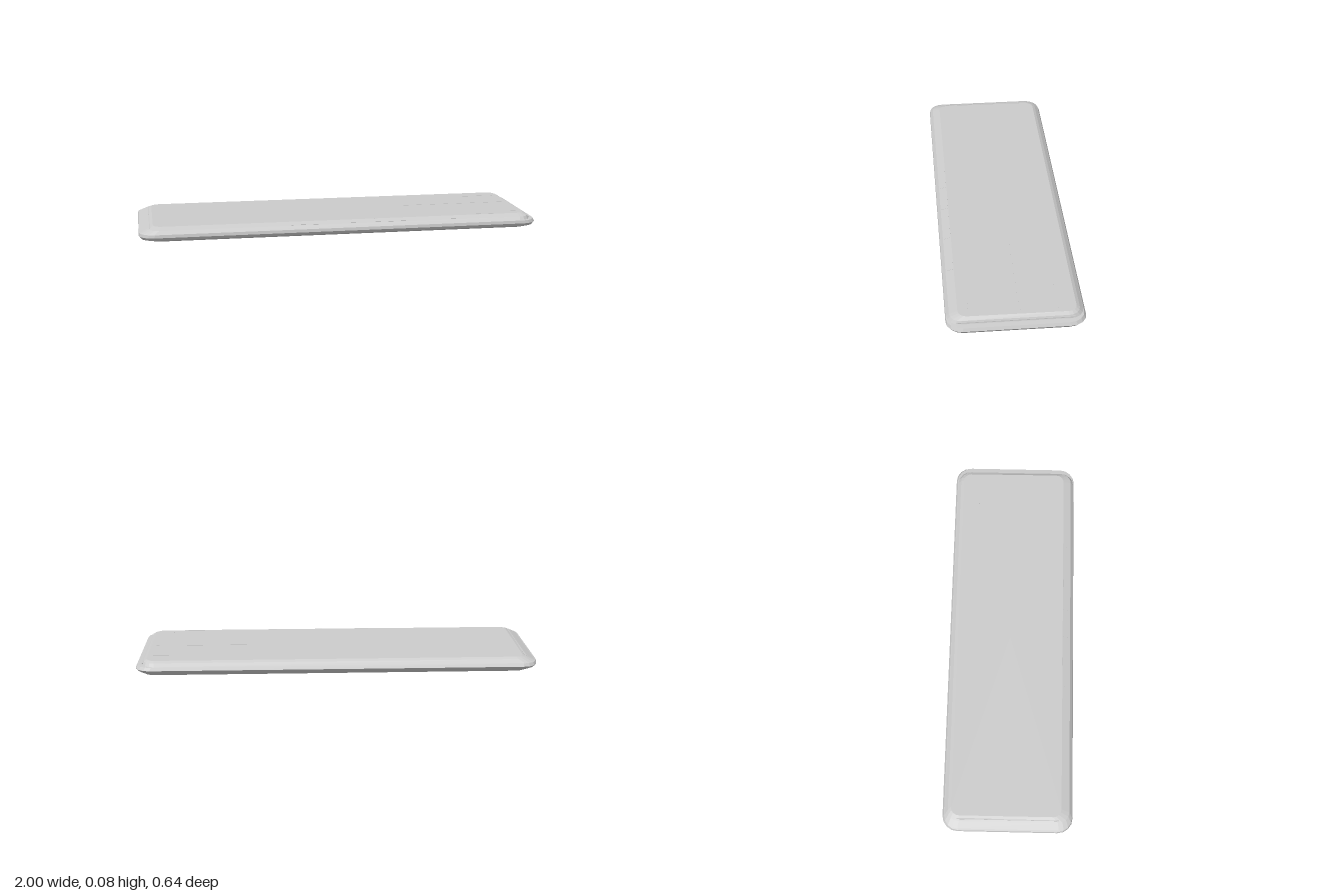
import * as THREE from 'three';

const grey = new THREE.MeshStandardMaterial({ color: 0xcccccc, flatShading: true });

// Rounded-rectangle loop; the height follows a gentle slope along z
function ring({ y, x0, x1, z0, z1, r, tilt = 0 }, steps = 4) {
  const points = [];
  const corners = [[x1 - r, z1 - r], [x0 + r, z1 - r], [x0 + r, z0 + r], [x1 - r, z0 + r]];
  corners.forEach(([cx, cz], k) => {
    for (let i = 0; i <= steps; i++) {
      const a = (k + i / steps) * Math.PI / 2;
      const z = cz + r * Math.sin(a);
      points.push(new THREE.Vector3(cx + r * Math.cos(a), y + tilt * z, z));
    }
  });
  return points;
}

// Skin a stack of loops, bottom to top, and close both ends
function loft(rings) {
  const pos = [];
  const tri = (...pts) => pts.forEach(p => pos.push(p.x, p.y, p.z));
  const n = rings[0].length;
  const centre = loop => loop.reduce((s, p) => s.add(p), new THREE.Vector3()).divideScalar(n);
  const low = rings[0], high = rings[rings.length - 1];
  const lowMid = centre(low), highMid = centre(high);
  for (let j = 0; j < n; j++) {
    const k = (j + 1) % n;
    for (let i = 0; i < rings.length - 1; i++) {
      const a = rings[i], b = rings[i + 1];
      tri(a[j], b[j], a[k]);
      tri(a[k], b[j], b[k]);
    }
    tri(lowMid, low[j], low[k]);
    tri(highMid, high[k], high[j]);
  }
  const geo = new THREE.BufferGeometry();
  geo.setAttribute('position', new THREE.Float32BufferAttribute(pos, 3));
  geo.computeVertexNormals();
  return geo;
}

export function createModel() {
  const group = new THREE.Group();
  const add = (name, geo, x = 0, y = 0, z = 0) => {
    const mesh = new THREE.Mesh(geo, grey);
    mesh.name = name;
    mesh.position.set(x, y, z);
    group.add(mesh);
    return mesh;
  };

  // Slab: shallow belly, bevelled rim, stepped lip at the +x end, flat top
  const sections = [
    { y: 0.002, x0: -0.75, x1: 0.75, z0: -0.1, z1: 0.12, r: 0.05 },
    { y: 0.008, x0: -0.94, x1: 0.955, z0: -0.29, z1: 0.262, r: 0.05 },
    { y: 0.024, x0: -0.99, x1: 0.99, z0: -0.308, z1: 0.309, r: 0.07 },
    { y: 0.038, x0: -1, x1: 1, z0: -0.322, z1: 0.318, r: 0.075 },
    { y: 0.053, x0: -0.998, x1: 0.993, z0: -0.314, z1: 0.316, r: 0.075 },
    { y: 0.055, x0: -0.99, x1: 0.968, z0: -0.311, z1: 0.314, r: 0.065 },
    { y: 0.07, x0: -0.957, x1: 0.962, z0: -0.295, z1: 0.301, r: 0.055 },
    { y: 0.08, x0: -0.93, x1: 0.945, z0: -0.28, z1: 0.262, r: 0.04, tilt: 0.006 },
  ];
  add('slabBody', loft(sections.map(s => ring(s))));

  // Fine raised seams along the top: [x start, x end, z]
  const seams = [[0.36, 0.92, -0.02], [0.75, 0.92, -0.195], [0.65, 0.79, 0.25], [0.85, 0.92, 0.212]];
  for (const [a, b, z] of seams) {
    add('topSeam', new THREE.BoxGeometry(b - a, 0.002, 0.004), (a + b) / 2, 0.08 + 0.006 * z, z);
  }

  // Seams across both ends
  add('endSeamRight', new THREE.BoxGeometry(0.006, 0.004, 0.5), -0.945, 0.0735, 0);
  add('endSeamLeft', new THREE.BoxGeometry(0.006, 0.004, 0.54), 0.965, 0.062, 0);

  // Shallow plates along the front bevel: [x start, x end]
  for (const [a, b] of [[-0.26, -0.09], [0.01, 0.1], [0.16, 0.35], [0.52, 0.6]]) {
    const plate = add('frontPlate', new THREE.BoxGeometry(b - a, 0.002, 0.035), (a + b) / 2, 0.0762, 0.28);
    plate.rotation.x = 0.28;
  }
  return group;
}
